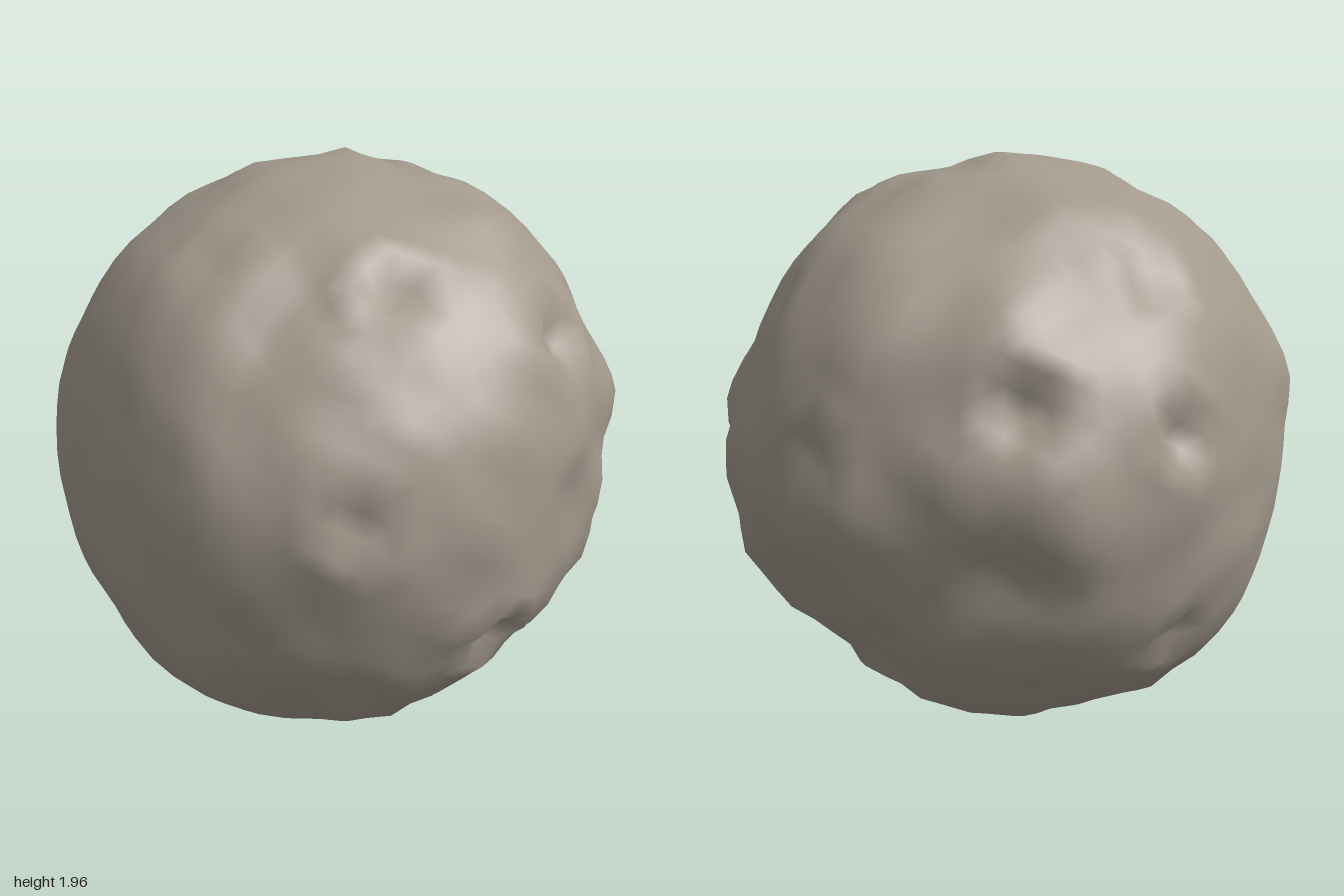
import * as THREE from 'three';
import { mergeVertices } from 'three/addons/utils/BufferGeometryUtils.js';

const V = (x, y, z) => new THREE.Vector3(x, y, z).normalize();

// Outline loops: an axis and the radii around it, counterclockwise from the loop's right
const LOOPS = [
  [V(0, 0, 1), [0.92, 0.98, 0.94, 0.97, 0.985, 0.965, 0.99, 0.99, 0.97, 0.985, 0.985, 1.015,
    0.97, 0.975, 0.985, 1.01, 1.01, 1.0, 0.99, 0.965, 0.965, 0.92, 0.95, 0.95]],
  [V(1, 0, 0), [0.99, 0.93, 0.97, 0.95, 0.945, 0.97, 0.985, 0.975, 0.96, 0.93, 0.945, 0.97,
    0.97, 0.97, 0.99, 0.985, 0.99, 1.0, 0.985, 0.99, 1.0, 0.975, 0.98, 0.94]],
  [V(0, 1, 0), [0.94, 0.97, 1.02, 0.98, 0.99, 0.945, 0.975, 1.01, 0.97, 0.98, 0.94, 0.965,
    0.98, 1.0, 0.985, 0.975, 0.96, 0.99, 0.985, 0.985, 0.975, 0.96, 0.915, 0.94]],
  [V(0.515, 0.438, 0.737), [1.0, 0.99, 1.005, 0.94, 0.975, 0.995, 1.0, 0.985,
    0.965, 1.0, 1.04, 1.035, 1.005, 0.92, 0.94, 0.995]],
  [V(-0.515, 0.438, -0.737), [0.96, 0.975, 1.01, 0.99, 0.955, 1.01, 0.975, 0.96,
    1.03, 0.945, 0.93, 0.975, 0.99, 1.0, 1.02, 1.005]],
  [V(0.562, -0.485, -0.67), [0.92, 0.97, 0.93, 0.94, 0.975, 0.99, 0.99, 0.97,
    0.95, 0.98, 0.99, 1.035, 1.04, 0.99, 1.02, 0.975]],
].map(([axis, radii]) => {
  const right = axis.y === 1 ? V(1, 0, 0) : V(axis.z, 0, -axis.x);
  return { axis, radii, right, up: axis.clone().cross(right) };
});

// Craters: direction x, y, z, then radius and depth
const CRATERS = [
  [0.2, 0.1, 0.95, 0.12, 0.055], [0.26, 0.71, 0.57, 0.13, 0.06], [0.6, -0.42, 0.65, 0.13, 0.06],
  [0.78, 0.51, 0.35, 0.13, 0.06], [0.88, -0.45, -0.21, 0.12, 0.065], [0.43, -0.71, -0.56, 0.1, 0.06],
  [0.38, -0.8, 0.48, 0.12, 0.05], [0.13, 0.96, -0.2, 0.11, 0.035], [-0.51, 0.63, -0.59, 0.11, 0.035],
  [-0.13, 0.3, -0.94, 0.14, 0.065], [-0.61, 0.19, -0.76, 0.12, 0.065], [0.54, 0.1, -0.83, 0.11, 0.05],
  [-0.56, -0.78, -0.28, 0.11, 0.05], [-0.02, -0.86, -0.51, 0.1, 0.055], [-0.6, -0.54, -0.59, 0.1, 0.05],
  [0.57, -0.71, -0.4, 0.08, 0.025], [-0.18, -0.53, 0.8, 0.09, 0.02], [-0.45, 0.74, -0.5, 0.11, 0.025],
  [-0.3, 0.76, 0.5, 0.1, 0.025],
].map(([x, y, z, radius, depth]) => ({ dir: V(x, y, z), radius, depth }));

// Raised knobs: direction x, y, z, then radius and height
const KNOBS = [
  [0.97, 0.12, -0.15, 0.15, 0.04], [0.92, -0.36, 0.1, 0.13, 0.025], [-0.18, 0.06, -0.98, 0.16, 0.02],
  [0.04, 0.98, -0.17, 0.15, 0.025], [0.0, 0.13, 1.0, 0.15, 0.015],
].map(([x, y, z, radius, height]) => ({ dir: V(x, y, z), radius, height }));

// Smoothly interpolated radius of one loop
function loopRadius({ radii, right, up }, d) {
  const n = radii.length;
  const t = ((Math.atan2(d.dot(up), d.dot(right)) / (2 * Math.PI) + 1) % 1) * n;
  const i = Math.floor(t);
  const f = t - i;
  const ease = f * f * (3 - 2 * f);
  return THREE.MathUtils.lerp(radii[i % n], radii[(i + 1) % n], ease);
}

// Body shape: the loops blended by nearness
function bodyRadius(d) {
  let sum = 0, total = 0;
  for (const loop of LOOPS) {
    const weight = 1 / (d.dot(loop.axis) ** 2 + 0.01) ** 2;
    sum += weight * loopRadius(loop, d);
    total += weight;
  }
  return 0.985 * sum / total;
}

// Small lumps, stronger on the +x side
function lumps({ x, y, z }) {
  const fine = Math.sin(13 * x + 4 * z) * Math.sin(12 * y + 5 * x + 1) * Math.sin(14 * z - 3 * y + 2);
  return (0.014 + 0.008 * x) * fine;
}

// Distance of the surface from the centre in a given direction
function surfaceRadius(d) {
  let r = bodyRadius(d) + lumps(d);
  for (const k of KNOBS) r += k.height * Math.exp(-2 * (d.distanceTo(k.dir) / k.radius) ** 2);
  for (const c of CRATERS) {
    const t = d.distanceTo(c.dir) / c.radius;
    const bowl = c.depth * Math.max(0, 1 - t * t);
    const rim = 0.35 * c.depth * Math.exp(-(((t - 1.05) / 0.35) ** 2));
    r += rim - bowl;
  }
  return r;
}

export function createModel() {
  const stone = new THREE.MeshStandardMaterial({ color: 0xa2998c });
  stone.name = 'grey brown stone';

  // Shared vertices give smooth shading on a fairly coarse mesh
  let geometry = new THREE.IcosahedronGeometry(1, 13);
  geometry.deleteAttribute('uv');
  geometry.deleteAttribute('normal');
  geometry = mergeVertices(geometry, 1e-4);

  const position = geometry.attributes.position;
  const d = new THREE.Vector3();
  for (let i = 0; i < position.count; i++) {
    d.fromBufferAttribute(position, i).normalize();
    d.multiplyScalar(surfaceRadius(d));
    position.setXYZ(i, d.x, d.y, d.z);
  }

  // Stand on the ground
  geometry.computeBoundingBox();
  geometry.translate(0, -geometry.boundingBox.min.y, 0);
  geometry.computeVertexNormals();

  const rock = new THREE.Mesh(geometry, stone);
  rock.name = 'crateredRock';
  const group = new THREE.Group();
  group.name = 'asteroid';
  group.add(rock);
  return group;
}
